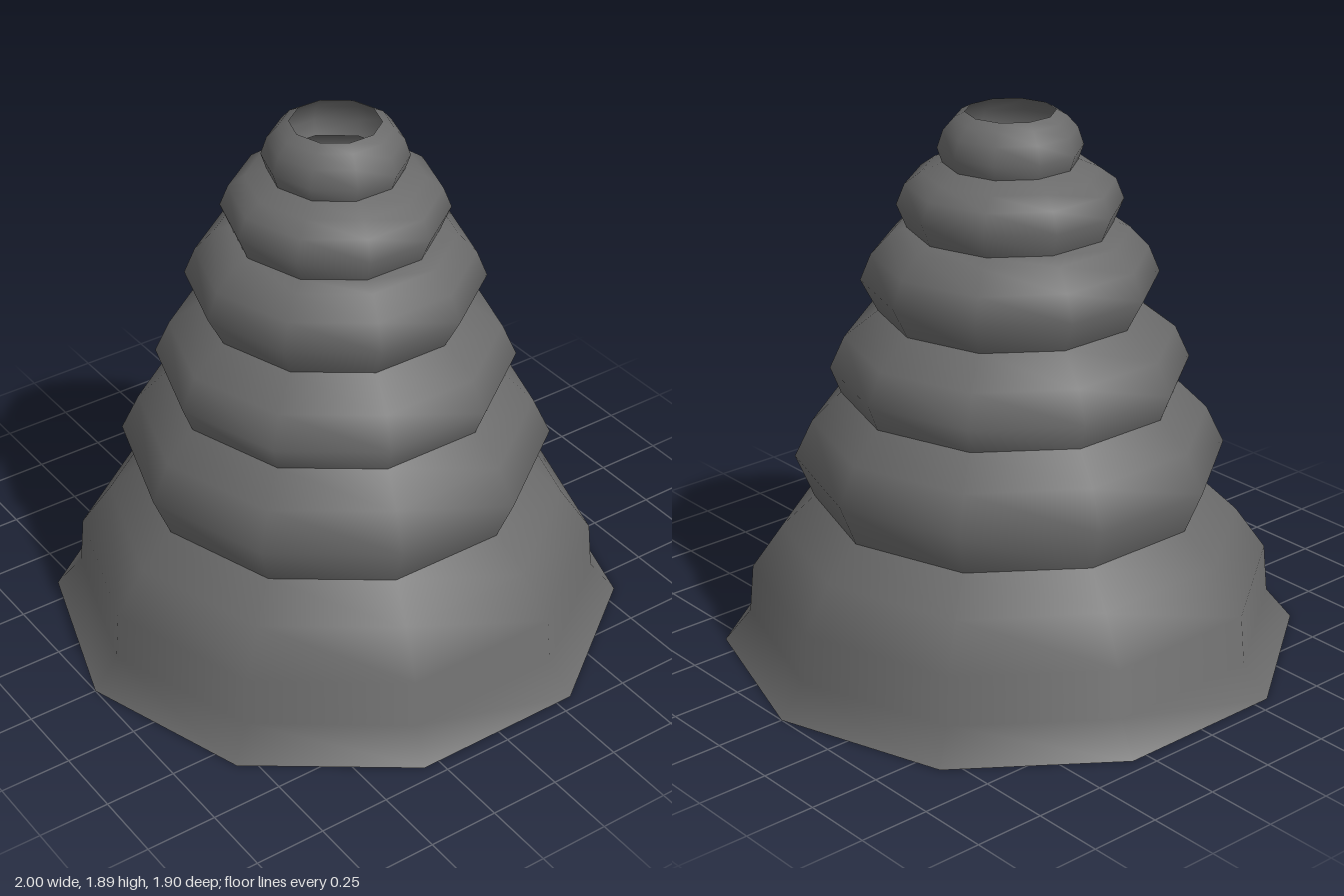
import * as THREE from 'three';

// Profiles [radius, height] of each hollow shell, bottom to top
const TIERS = {
  flaredBase: [[1, 0], [0.91, 0.11], [0.895, 0.28], [0.79, 0.43], [0.675, 0.54]],
  innerCollar: [[0.675, 0.54], [0.6, 0.64]],
  secondTier: [[0.675, 0.54], [0.737, 0.69], [0.675, 0.82], [0.575, 0.92]],
  thirdTier: [[0.575, 0.92], [0.61, 1.01], [0.56, 1.12], [0.445, 1.21]],
  fourthTier: [[0.445, 1.21], [0.502, 1.32], [0.465, 1.41], [0.4, 1.48], [0.345, 1.5]],
  fifthTier: [[0.345, 1.5], [0.378, 1.58], [0.35, 1.65], [0.295, 1.69], [0.225, 1.72]],
  topTier: [[0.225, 1.72], [0.242, 1.77], [0.222, 1.83], [0.187, 1.87], [0.15, 1.89]],
};
const SIDES = 10;

export function createModel() {
  const model = new THREE.Group();
  model.name = 'tieredCone';
  const material = new THREE.MeshStandardMaterial({ color: 0x6a6a6a, side: THREE.DoubleSide });

  // One ten-sided shell per tier, with a corner on the x axis; separate shells keep the joins sharp
  for (const [name, profile] of Object.entries(TIERS)) {
    const points = profile.map(([r, y]) => new THREE.Vector2(r, y));
    const tier = new THREE.Mesh(new THREE.LatheGeometry(points, SIDES, Math.PI / 2), material);
    tier.name = name;
    model.add(tier);
  }
  return model;
}
